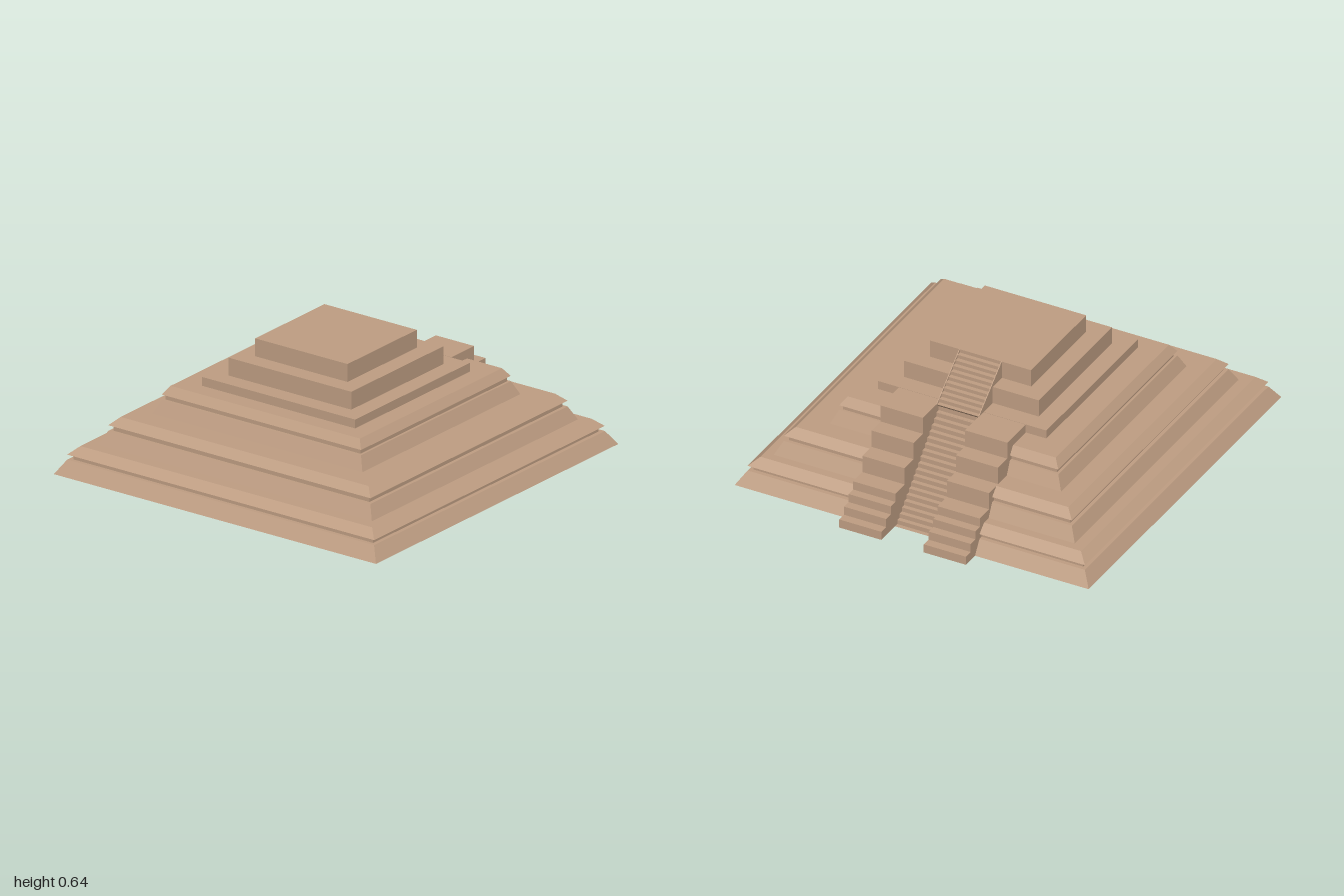
import * as THREE from 'three';

const stone = new THREE.MeshStandardMaterial({ color: 0xbe9d82, side: THREE.DoubleSide });
stone.name = 'sandstone';

const STAIR = 0.114; // half width of the stair

// Rectangle outline with a slot at the back for the stair, counter-clockwise from above
function outline(x0, x1, z0, z1, slot) {
  return [
    [x0, z1], [x1, z1], [x1, z0], [STAIR, z0],
    [STAIR, slot], [-STAIR, slot], [-STAIR, z0], [x0, z0],
  ];
}

// Sloped terrace with a recessed band, an overhanging bevelled lip and a flat top
function terrace(name, t) {
  const rings = t.y.map((y, i) => {
    const d = t.inset[i];
    return outline(t.x0 + d, t.x1 - d, t.z0 + d, t.z1 - d, t.slot).map(([x, z]) => new THREE.Vector3(x, y, z));
  });
  const points = [];
  for (let r = 0; r < rings.length - 1; r++) {
    const low = rings[r], high = rings[r + 1];
    low.forEach((a, i) => {
      const j = (i + 1) % low.length;
      points.push(a, low[j], high[j], a, high[j], high[i]);
    });
  }
  const top = rings[rings.length - 1];
  const flat = top.map((p) => new THREE.Vector2(p.x, -p.z));
  for (const tri of THREE.ShapeUtils.triangulateShape(flat, [])) {
    points.push(...tri.map((k) => top[k]));
  }
  const geometry = new THREE.BufferGeometry().setFromPoints(points);
  geometry.computeVertexNormals();
  const mesh = new THREE.Mesh(geometry, stone);
  mesh.name = name;
  return mesh;
}

// Side profile of [z, y] points extruded across x
function slab(name, profile, x0, x1) {
  const shape = new THREE.Shape(profile.map(([z, y]) => new THREE.Vector2(-z, y)));
  const geometry = new THREE.ExtrudeGeometry(shape, { depth: x1 - x0, bevelEnabled: false });
  geometry.rotateY(Math.PI / 2);
  geometry.translate(x0, 0, 0);
  const mesh = new THREE.Mesh(geometry, stone);
  mesh.name = name;
  return mesh;
}

// Descending steps from one nose point to another
function steps(z0, y0, z1, y1, count) {
  const pts = [];
  const run = (z1 - z0) / count, rise = (y1 - y0) / count;
  for (let i = 0; i < count; i++) {
    pts.push([z0 + i * run, y0 + i * rise], [z0 + i * run, y0 + (i + 1) * rise]);
  }
  pts.push([z1, y1]);
  return pts;
}

export function createModel() {
  const model = new THREE.Group();
  model.name = 'steppedPyramid';

  // Three sloped terraces
  model.add(terrace('lowerTerrace', {
    x0: -0.953, x1: 0.953, z0: -0.91, z1: 1, slot: -0.72,
    y: [0, 0.07, 0.07, 0.096, 0.096, 0.136], inset: [0, 0.045, 0.066, 0.066, 0.045, 0.09],
  }));
  model.add(terrace('middleTerrace', {
    x0: -0.805, x1: 0.816, z0: -0.775, z1: 0.85, slot: -0.59,
    y: [0.136, 0.205, 0.205, 0.234, 0.234, 0.273], inset: [0, 0.035, 0.053, 0.053, 0.035, 0.077],
  }));
  model.add(terrace('upperTerrace', {
    x0: -0.633, x1: 0.61, z0: -0.595, z1: 0.65, slot: -0.45,
    y: [0.273, 0.342, 0.342, 0.368, 0.368, 0.41], inset: [0, 0.032, 0.045, 0.045, 0.032, 0.062],
  }));

  // Flat underside, set in from the sloped skirt
  const underside = new THREE.Mesh(new THREE.PlaneGeometry(1.816, 1.82), stone);
  underside.rotation.x = Math.PI / 2;
  underside.position.set(0, 0, 0.045);
  underside.name = 'underside';
  model.add(underside);

  // Three square blocks at the summit
  const blocks = [[0.453, 0.41, 0.455], [0.363, 0.455, 0.546], [0.273, 0.546, 0.637]];
  blocks.forEach(([half, low, high], i) => {
    const block = new THREE.Mesh(new THREE.BoxGeometry(half * 2, high - low, half * 2), stone);
    block.position.set(0, (low + high) / 2, 0.045);
    block.name = 'summitBlock' + (i + 1);
    model.add(block);
  });

  // Two flights of narrow steps at the back
  model.add(slab('lowerFlight',
    [...steps(-0.41, 0.455, -0.865, 0, 20), [-0.84, -0.003], [-0.72, 0.02], [-0.4, 0.3]], -STAIR, STAIR));
  model.add(slab('upperFlight',
    [...steps(-0.228, 0.637, -0.455, 0.455, 10), [-0.41, 0.41], [-0.228, 0.41]], -STAIR, STAIR));

  // Thin sloping cheeks beside the upper flight
  const cheek = [[-0.228, 0.637], [-0.455, 0.455], [-0.228, 0.455]];
  model.add(slab('leftCheek', cheek, STAIR - 0.003, STAIR + 0.001));
  model.add(slab('rightCheek', cheek, -STAIR - 0.001, -STAIR + 0.003));

  // Stepped side walls flanking the stair
  const wall = [[-0.41, 0.455]];
  const treads = [[-0.59, 0.455], [-0.68, 0.365], [-0.77, 0.273], [-0.862, 0.182],
    [-0.907, 0.136], [-0.953, 0.091], [-1, 0.0455]];
  treads.forEach(([z, y], i) => {
    wall.push([z, y], [z, i + 1 < treads.length ? treads[i + 1][1] : 0]);
  });
  wall.push([-0.88, 0], [-0.85, 0.05], [-0.41, 0.4]);
  model.add(slab('leftStairWall', wall, STAIR, 0.341));
  model.add(slab('rightStairWall', wall, -0.341, -STAIR));

  return model;
}
